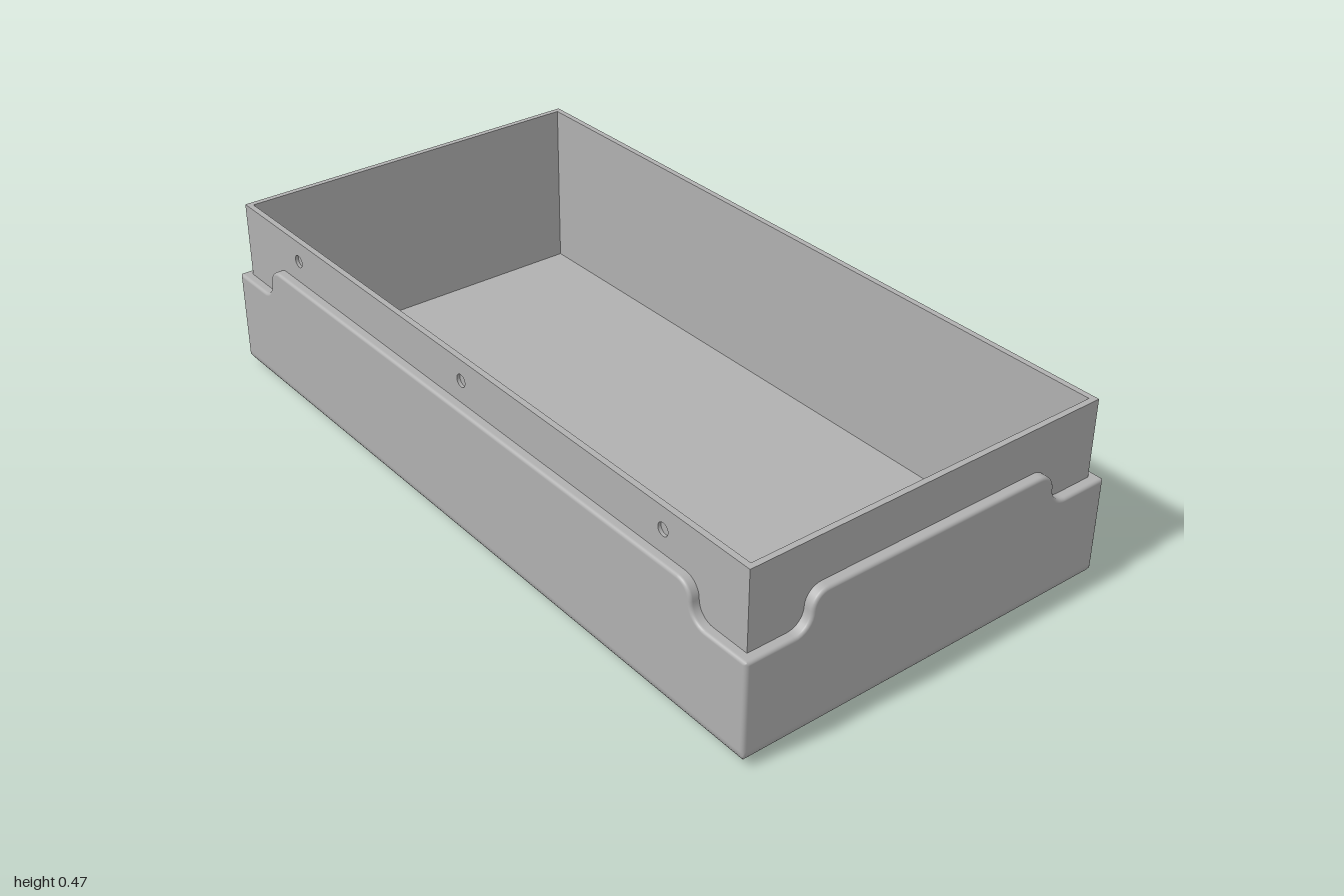
import * as THREE from 'three';

const X = 1, Z = 0.514;            // outer half sizes
const LX = 0.975, LZ = 0.49;       // liner half sizes
const WALL = 0.015, TOP = 0.465, FLOOR = 0.02;
const LOW = 0.265, HIGH = 0.352;   // sleeve rim heights at corners and middle
const BOTTOM_R = 0.04, RIM_R = 0.008, CORNER_R = 0.01;

// Rim outline of one side: [u, y, normal u, normal y] from -L to L
function rimProfile(L, c) {
  const r = (HIGH - LOW) / 2, half = [[L - CORNER_R, LOW, 0, 1]];
  for (let i = 0; i <= 8; i++) {
    const s = Math.sin(i * Math.PI / 16), k = Math.cos(i * Math.PI / 16);
    half.push([c + r - r * s, LOW + r - r * k, s, k]);
  }
  for (let i = 1; i <= 8; i++) {
    const s = Math.sin(i * Math.PI / 16), k = Math.cos(i * Math.PI / 16);
    half.push([c - r + r * k, HIGH - r + r * s, k, s]);
  }
  return [...half.map(([u, y, a, b]) => [-u, y, -a, b]), ...half.slice().reverse()];
}

// Outer sleeve: rings following the perimeter, from the bottom fillet to the rim
function sleeveGeometry() {
  const sides = [
    { t: [1, 0], n: [0, 1], L: X, N: Z, c: 0.83 },
    { t: [0, -1], n: [1, 0], L: Z, N: X, c: 0.345 },
    { t: [-1, 0], n: [0, -1], L: X, N: Z, c: 0.83 },
    { t: [0, 1], n: [-1, 0], L: Z, N: X, c: 0.345 },
  ];
  const columns = [];
  for (const { t, n, L, N, c } of sides) {
    const add = (u, v, y, nu, ny) => columns.push({
      x: t[0] * u + n[0] * v, z: t[1] * u + n[1] * v, y, ny, nx: t[0] * nu, nz: t[1] * nu,
    });
    for (const [u, y, nu, ny] of rimProfile(L, c)) add(u, N, y, nu, ny);
    for (let i = 1; i < 4; i++) {
      const a = i * Math.PI / 8;
      add(L - CORNER_R + CORNER_R * Math.sin(a), N - CORNER_R + CORNER_R * Math.cos(a), LOW, 0, 1);
    }
  }

  const rings = [];
  for (let i = 0; i <= 8; i++) {
    const a = i * Math.PI / 16;
    rings.push({ inset: BOTTOM_R * (1 - Math.sin(a)), y: BOTTOM_R * (1 - Math.cos(a)) });
  }
  for (let i = 0; i <= 5; i++) {
    const a = i * Math.PI / 10;
    rings.push({ inset: RIM_R * (1 - Math.cos(a)), drop: RIM_R * (1 - Math.sin(a)) });
  }
  rings.push({ inset: 0.03, drop: 0 });

  const positions = [], index = [], n = columns.length;
  const clamp = (v, m) => Math.max(-m, Math.min(m, v));
  rings.forEach(({ inset, y, drop = RIM_R }, j) => {
    columns.forEach((p, i) => {
      positions.push(
        clamp(p.x - p.nx * drop, X - inset),
        y === undefined ? p.y - p.ny * drop : y,
        clamp(p.z - p.nz * drop, Z - inset));
      if (j === 0) return;
      const k = (i + 1) % n, a = (j - 1) * n, b = j * n;
      index.push(a + i, a + k, b + k, a + i, b + k, b + i);
    });
  });
  const geometry = new THREE.BufferGeometry();
  geometry.setAttribute('position', new THREE.Float32BufferAttribute(positions, 3));
  geometry.setIndex(index);
  geometry.computeVertexNormals();
  return geometry;
}

// Outer skin of a long liner wall, with three round recesses
function recessedSkin(depth) {
  const shape = new THREE.Shape([
    new THREE.Vector2(-LX, FLOOR), new THREE.Vector2(LX, FLOOR),
    new THREE.Vector2(LX, TOP), new THREE.Vector2(-LX, TOP),
  ]);
  for (const x of [-0.715, 0, 0.715]) {
    shape.holes.push(new THREE.Path().absarc(x, 0.41, 0.016, 0, Math.PI * 2, true));
  }
  return new THREE.ExtrudeGeometry(shape, { depth, bevelEnabled: false, curveSegments: 16 });
}

export function createModel() {
  const model = new THREE.Group();
  model.name = 'openTray';
  const grey = new THREE.MeshStandardMaterial({ color: 0xb0b0b0 });
  grey.name = 'grey';

  const add = (parent, name, geometry, x = 0, y = 0, z = 0) => {
    const mesh = new THREE.Mesh(geometry, grey);
    mesh.name = name;
    mesh.position.set(x, y, z);
    parent.add(mesh);
    return mesh;
  };

  // Sleeve with its flat underside
  add(model, 'outerSleeve', sleeveGeometry());
  const base = new THREE.PlaneGeometry(2 * (X - BOTTOM_R), 2 * (Z - BOTTOM_R));
  add(model, 'underside', base.rotateX(Math.PI / 2));

  // Liner floor and short walls
  const height = TOP - FLOOR, midY = (TOP + FLOOR) / 2;
  add(model, 'linerFloor', new THREE.BoxGeometry(2 * LX, 0.01, 2 * LZ), 0, FLOOR - 0.005, 0);
  for (const [side, s] of [['left', 1], ['right', -1]]) {
    add(model, side + 'LinerWall', new THREE.BoxGeometry(WALL, height, 2 * (LZ - WALL)),
      s * (LX - WALL / 2), midY, 0);
  }

  // Long liner walls: a recessed skin over a plain inner sheet
  const skin = 0.008, sheet = WALL - skin;
  for (const [side, angle] of [['front', 0], ['back', Math.PI]]) {
    const wall = new THREE.Group();
    wall.name = side + 'LinerWall';
    wall.rotation.y = angle;
    add(wall, 'recessedSkin', recessedSkin(skin), 0, 0, LZ - skin);
    add(wall, 'innerSheet', new THREE.BoxGeometry(2 * LX, height, sheet),
      0, midY, LZ - WALL + sheet / 2);
    model.add(wall);
  }
  return model;
}
